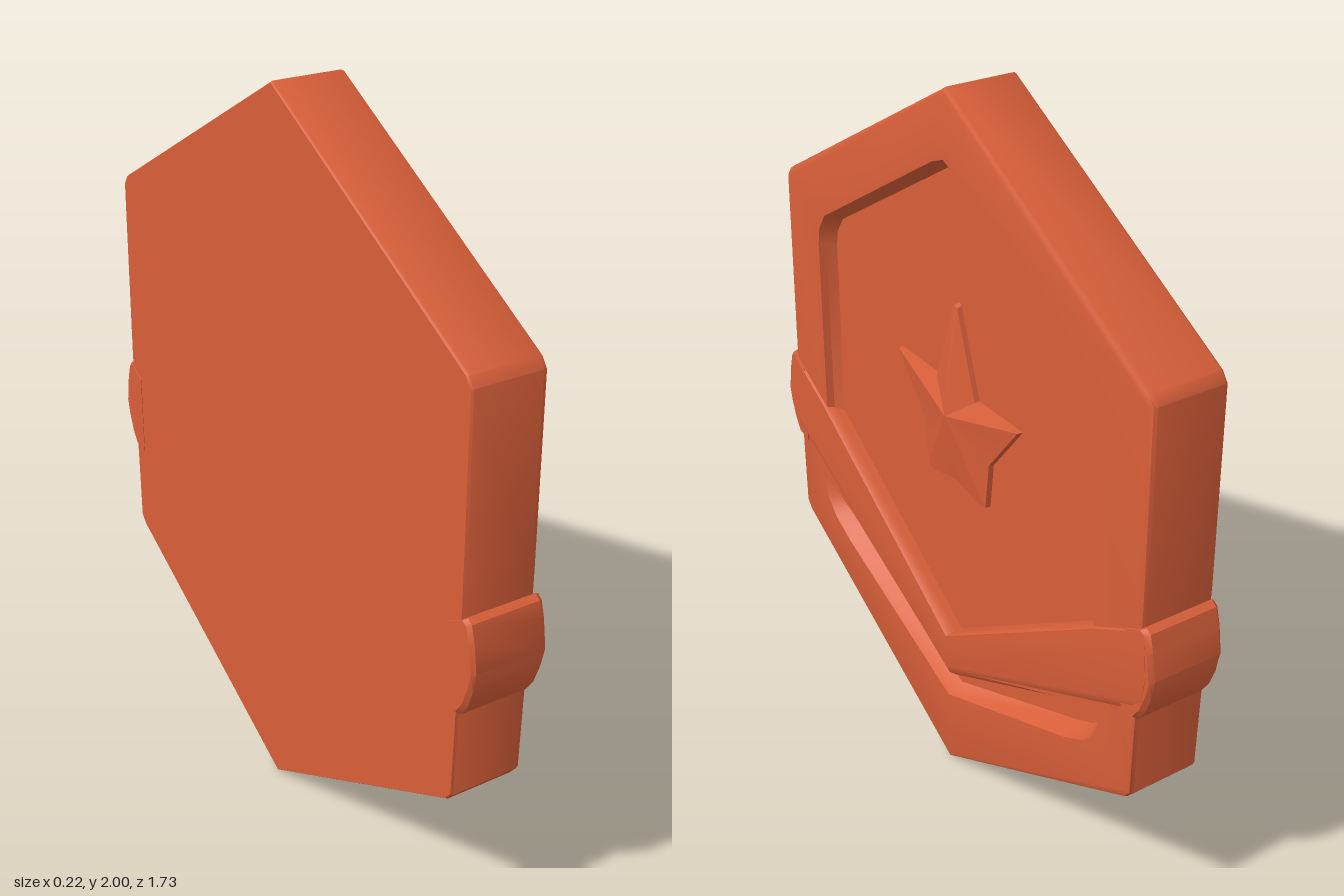
import * as THREE from 'three';
import { toCreasedNormals } from 'three/addons/utils/BufferGeometryUtils.js';

const clay = new THREE.MeshStandardMaterial({ color: 0xd95f39 });
clay.name = 'terracotta';

const points = (list) => list.map(([u, v]) => new THREE.Vector2(u, v));
// Full counter-clockwise outline from its right half, listed bottom to top (ends on the centre line)
const mirrored = (half) => points([...half, ...half.slice(1, -1).reverse().map(([u, v]) => [-u, v])]);
const scaled = (ring, s, cy) => ring.map((p) => new THREE.Vector2(p.x * s, cy + (p.y - cy) * s));

// Flat face with optional holes, as a triangle list
function face(out, ring, x, flip = false, holes = []) {
  const all = [ring, ...holes].flat();
  for (const [a, b, c] of THREE.ShapeUtils.triangulateShape(ring, holes)) {
    const p = [all[a], all[b], all[c]];
    const area = (p[1].x - p[0].x) * (p[2].y - p[0].y) - (p[2].x - p[0].x) * (p[1].y - p[0].y);
    if ((area < 0) !== flip) p.reverse();
    for (const q of p) out.push(q.x, q.y, x);
  }
}

// Walls joining successive [outline, depth] sections
function walls(out, sections) {
  for (let s = 0; s < sections.length - 1; s++) {
    const [a, za] = sections[s];
    const [b, zb] = sections[s + 1];
    for (let i = 0; i < a.length; i++) {
      const j = (i + 1) % a.length;
      out.push(a[i].x, a[i].y, za, a[j].x, a[j].y, za, b[j].x, b[j].y, zb);
      out.push(a[i].x, a[i].y, za, b[j].x, b[j].y, zb, b[i].x, b[i].y, zb);
    }
  }
}

// Mesh turned so that the decorated face looks along +x
function makeMesh(name, out, crease = 0.65) {
  const g = new THREE.BufferGeometry();
  g.setAttribute('position', new THREE.Float32BufferAttribute(out, 3));
  g.rotateY(Math.PI / 2);
  const mesh = new THREE.Mesh(toCreasedNormals(g, crease), clay);
  mesh.name = name;
  return mesh;
}

function solid(name, sections) {
  const out = [];
  walls(out, sections);
  face(out, sections[0][0], sections[0][1], true);
  const end = sections[sections.length - 1];
  face(out, end[0], end[1]);
  return makeMesh(name, out);
}

function pocket(name, sections) {
  const out = [];
  walls(out, sections);
  const floor = sections[sections.length - 1];
  face(out, floor[0], floor[1]);
  return makeMesh(name, out, 0.9);
}

export function createModel() {
  const group = new THREE.Group();
  group.name = 'hexagonalBadge';
  const BACK = -0.108, FRONT = 0.1, FLOOR = 0.055;

  // Outlines of the plate and its two recesses
  const hexagon = mirrored([[0, 0], [0.785, 0.435], [0.805, 0.46], [0.815, 1], [0.808, 1.53], [0.79, 1.555], [0, 2]]);
  const upperRim = mirrored([[0, 0.4], [0.64, 0.8], [0.64, 1.38], [0.633, 1.425], [0.6, 1.475],
    [0.05, 1.805], [0, 1.825]]);
  const lowerRim = mirrored([[0, 0.23], [0.54, 0.455], [0.62, 0.5], [0.66, 0.545], [0.68, 0.625], [0.5, 0.56], [0, 0.32]]);
  const lowerFloor = mirrored([[0, 0.255], [0.53, 0.485], [0.6, 0.52], [0.64, 0.56], [0.66, 0.622], [0.5, 0.559], [0, 0.319]]);

  // Thick hexagonal plate with softened front edge
  const plate = [];
  const edge = scaled(hexagon, 0.988, 1);
  walls(plate, [[scaled(hexagon, 0.996, 1), BACK], [hexagon, BACK + 0.006], [hexagon, FRONT - 0.014],
    [scaled(hexagon, 0.996, 1), FRONT - 0.004], [edge, FRONT]]);
  face(plate, scaled(hexagon, 0.996, 1), BACK, true);
  face(plate, edge, FRONT, false, [upperRim, lowerRim]);
  group.add(makeMesh('plate', plate));

  // Recesses with sloping walls
  group.add(pocket('emblemRecess', [[upperRim, FRONT], [scaled(upperRim, 0.988, 1.12), FRONT - 0.02],
    [scaled(upperRim, 0.965, 1.12), FLOOR]]));
  group.add(pocket('lowerRecess', [[lowerRim, FRONT], [lowerFloor, FLOOR]]));

  // Chevron band with a chamfered lower edge
  const band = (drop, top) => mirrored([[0, 0.29 + drop], [0.8, 0.695 + drop], [0.835, 0.74 + drop * 0.7], [0.845, 0.84],
    [0.835, 0.93], [0.81, 0.962 - top], [0.65, 0.872 - top], [0, 0.443 - top]]);
  group.add(solid('chevronBand', [[band(0, 0), 0.03], [band(0, 0), 0.075], [band(0.018, 0), 0.096], [band(0.045, 0.006), 0.107]]));

  // Wrapped ends of the band on both sides
  const tab = points([[0.77, 0.69], [0.815, 0.7], [0.838, 0.735], [0.856, 0.785], [0.865, 0.84],
    [0.853, 0.915], [0.84, 0.96], [0.825, 0.97], [0.77, 0.94]]);
  for (const side of [1, -1]) {
    const ring = side > 0 ? tab : tab.map((p) => new THREE.Vector2(-p.x, p.y)).reverse();
    const inner = ring.map((p) => new THREE.Vector2(p.x - side * 0.008, p.y + (p.y < 0.8 ? 0.008 : -0.006)));
    group.add(solid(side > 0 ? 'rightBandEnd' : 'leftBandEnd',
      [[inner, -0.11], [ring, -0.1], [ring, 0.094], [inner, 0.106]]));
  }

  // Faceted five-pointed star
  const star = mirrored([[0, 0.93], [0.115, 0.905], [0.14, 0.915], [0.155, 1.05], [0.28, 1.205], [0.09, 1.205], [0.01, 1.44], [0, 1.445]]);
  const centre = star.map(() => new THREE.Vector2(0, 1.135));
  const facets = [];
  walls(facets, [[star, FLOOR - 0.005], [scaled(star, 0.98, 1.135), FLOOR + 0.014], [centre, 0.103]]);
  group.add(makeMesh('star', facets, 0.15));

  return group;
}
